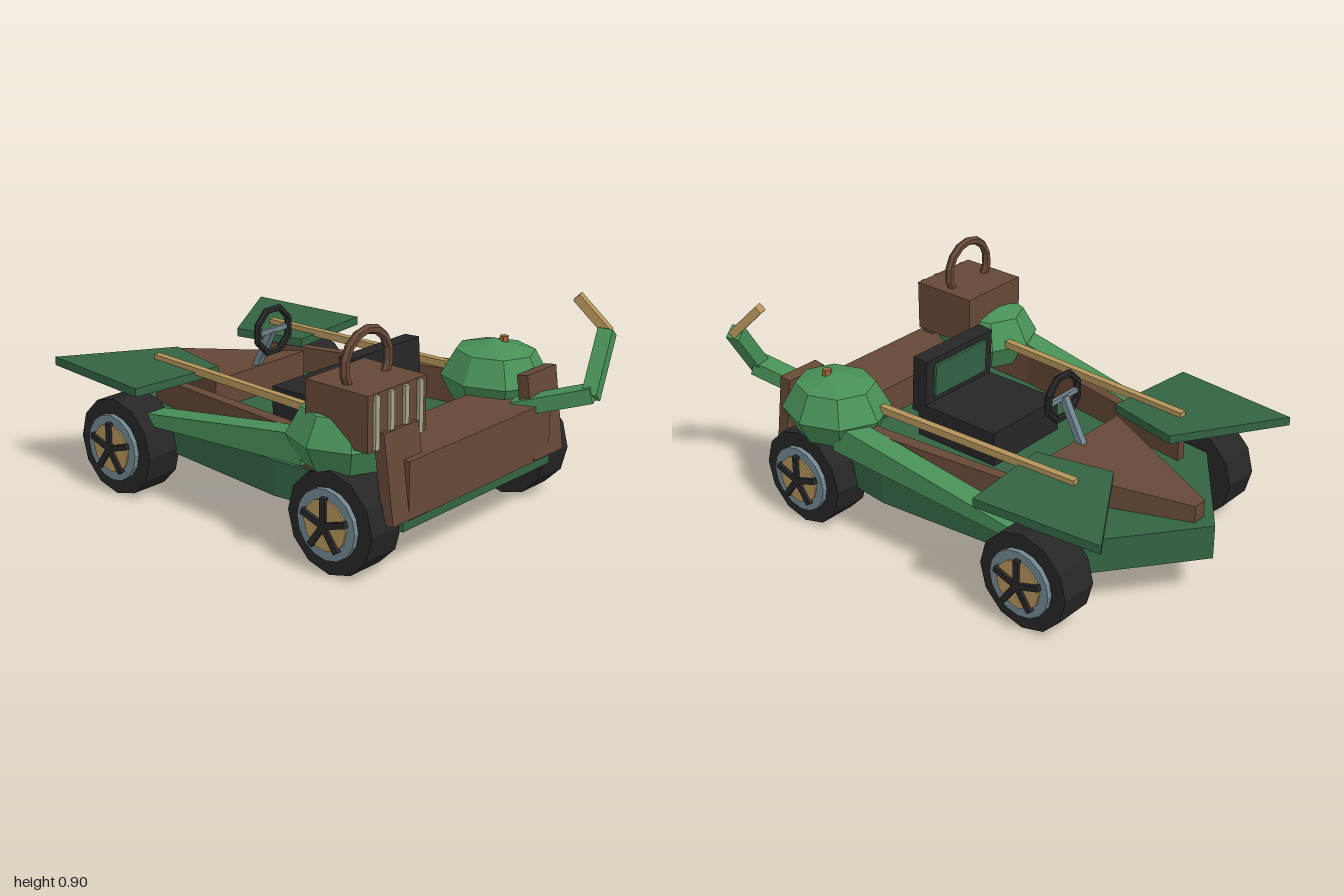
import * as THREE from 'three';

const mat = (name, color, side = THREE.FrontSide) => {
  const m = new THREE.MeshStandardMaterial({ color, flatShading: true, side });
  m.name = name;
  return m;
};

export function createModel() {
  const kart = new THREE.Group();
  kart.name = 'kart';
  const darkGreen = mat('dark green', 0x336343);
  const leafGreen = mat('leaf green', 0x489057);
  const brown = mat('wood brown', 0x654836);
  const gold = mat('tan', 0xb3935a);
  const black = mat('black', 0x262626);
  const steel = mat('steel blue', 0x71858f);
  const cream = mat('cream', 0xa8a488);
  const copper = mat('copper', 0x9a6238);

  const add = (name, geo, material, parent = kart) => {
    const m = new THREE.Mesh(geo, material);
    m.name = name;
    parent.add(m);
    return m;
  };
  const box = (name, x0, x1, y0, y1, z0, z1, material) => {
    const m = add(name, new THREE.BoxGeometry(x1 - x0, y1 - y0, z1 - z0), material);
    m.position.set((x0 + x1) / 2, (y0 + y1) / 2, (z0 + z1) / 2);
    return m;
  };
  // Plan outline of [x, z] points; bottom and top heights are functions of z
  const slab = (name, outline, bottom, top, material) => {
    const shape = new THREE.Shape(outline.map(([x, z]) => new THREE.Vector2(x, -z)));
    const g = new THREE.ExtrudeGeometry(shape, { depth: 1, bevelEnabled: false }).rotateX(-Math.PI / 2);
    const p = g.attributes.position;
    for (let i = 0; i < p.count; i++) {
      const z = p.getZ(i);
      p.setY(i, p.getY(i) > 0.5 ? top(z) : bottom(z));
    }
    g.computeVertexNormals();
    return add(name, g, material);
  };
  const flat = (y) => () => y;
  const ramp = (z0, y0, z1, y1) => (z) => y0 + ((z - z0) / (z1 - z0)) * (y1 - y0);
  // Square bar between two points
  const bar = (name, a, b, w, h, material) => {
    const from = new THREE.Vector3(...a), to = new THREE.Vector3(...b);
    const m = add(name, new THREE.BoxGeometry(w, h, from.distanceTo(to)), material);
    m.position.copy(from).add(to).multiplyScalar(0.5);
    m.lookAt(to);
    return m;
  };

  // Chassis with pointed nose
  const half = [[0.43, -0.67], [0.51, 0.2], [0.45, 0.775]];
  slab('chassis', [[0, -1], ...half, ...half.map(([x, z]) => [-x, z]).reverse()], flat(0.18), flat(0.32), darkGreen);

  // Cowl, rising toward the driver
  slab('cowl', [[-0.03, -0.93], [0.03, -0.93], [0.26, -0.35], [-0.26, -0.35]],
    flat(0.31), ramp(-0.93, 0.39, -0.35, 0.445), brown);

  // Tail panel
  box('tailPanel', -0.43, 0.43, 0.22, 0.445, 0.5, 0.785, brown);

  // Seat
  box('seatBase', -0.195, 0.195, 0.32, 0.462, -0.1, 0.3, black);
  const back = box('seatBack', -0.195, 0.195, 0.42, 0.66, 0.255, 0.325, black);
  back.rotation.x = -0.06;
  const pad = box('seatPad', -0.15, 0.15, 0.49, 0.63, 0.242, 0.262, darkGreen);
  pad.rotation.x = -0.06;

  // Steering wheel, spoke and column
  const rim = add('steeringWheel', new THREE.TorusGeometry(0.095, 0.015, 6, 8), black);
  rim.geometry.rotateZ(Math.PI / 8);
  rim.position.set(0, 0.61, -0.28);
  box('steeringSpoke', -0.085, 0.085, 0.6, 0.62, -0.29, -0.275, steel);
  bar('steeringColumn', [0, 0.61, -0.285], [0, 0.42, -0.385], 0.028, 0.028, steel);

  // Parts repeated on both sides
  for (const s of [1, -1]) {
    const flip = (pts) => pts.map(([x, z]) => [s * x, z]);

    slab('sideWall', flip([[0.3, -0.62], [0.34, -0.62], [0.485, 0.25], [0.485, 0.5], [0.44, 0.5], [0.43, 0.25]]),
      flat(0.31), ramp(-0.62, 0.42, 0.5, 0.47), brown);
    slab('sideBeam', flip([[0.44, -0.5], [0.535, -0.5], [0.575, 0.4], [0.48, 0.4]]),
      ramp(-0.5, 0.3, 0.4, 0.37), ramp(-0.5, 0.345, 0.4, 0.49), leafGreen);
    slab('frontFender', flip([[0.6, -0.93], [0.175, -0.66], [0.245, -0.35], [0.65, -0.39]]),
      flat(0.465), flat(0.5), darkGreen);
    bar('sideRail', [s * 0.335, 0.505, -0.61], [s * 0.378, 0.505, 0.32], 0.03, 0.03, gold);

    // Faceted rear fender
    const profile = [[0, 0.37], [0.155, 0.385], [0.205, 0.485], [0.15, 0.59], [0, 0.635]];
    const dome = add('rearFender',
      new THREE.LatheGeometry(profile.map(([r, y]) => new THREE.Vector2(r, y)), 8), leafGreen);
    dome.position.set(s * 0.45, 0, 0.5);
    dome.scale.z = 1.1;
    const stud = add('fenderStud', new THREE.CylinderGeometry(0.018, 0.022, 0.04, 6), copper);
    stud.position.set(s * 0.47, 0.625, 0.525);

    // Leaning corner post
    const post = box('cornerPost', Math.min(s * 0.33, s * 0.52), Math.max(s * 0.33, s * 0.52), 0.22, 0.56, 0.715, 0.765, brown);
    post.rotation.x = -0.14;

    // Wheels
    for (const z of [0.56, -0.58]) {
      const wheel = new THREE.Group();
      wheel.name = z > 0 ? 'rearWheel' : 'frontWheel';
      wheel.position.set(s * 0.52, 0.2, z);
      kart.add(wheel);
      const disc = (name, r, x0, x1, n, material) => {
        const d = add(name, new THREE.CylinderGeometry(r, r, x1 - x0, n).rotateZ(Math.PI / 2), material, wheel);
        d.position.x = (s * (x0 + x1)) / 2;
      };
      disc('tyre', 0.2, -0.08, 0.08, 12, black);
      disc('rimRing', 0.137, 0.07, 0.1, 16, steel);
      disc('hubDisc', 0.1, 0.09, 0.107, 12, gold);
      for (let i = 0; i < 5; i++) {
        const a = (i / 5) * Math.PI * 2;
        const spoke = add('spoke', new THREE.BoxGeometry(0.025, 0.108, 0.024).translate(0, 0.054, 0), black, wheel);
        spoke.position.x = s * 0.107;
        spoke.rotation.x = a;
      }
    }
  }

  // Luggage case with slats and hoop handle
  box('case', -0.582, -0.263, 0.5, 0.71, 0.43, 0.72, brown);
  for (let i = 0; i < 4; i++) {
    const x = -0.543 + i * 0.0795;
    box('caseSlat', x - 0.011, x + 0.011, 0.505, 0.705, 0.715, 0.733, cream);
  }
  const arc = Math.PI * 1.4;
  const hoop = add('caseHandle', new THREE.TorusGeometry(0.12, 0.018, 6, 10, arc), brown);
  hoop.rotation.z = Math.PI / 2 - arc / 2;
  hoop.position.set(-0.423, 0.765, 0.578);

  // Jointed exhaust arm
  bar('armLower', [0.34, 0.42, 0.68], [0.445, 0.515, 0.965], 0.09, 0.06, leafGreen);
  bar('armUpper', [0.43, 0.5, 0.962], [0.58, 0.72, 0.925], 0.06, 0.062, leafGreen);
  bar('armTip', [0.585, 0.715, 0.93], [0.54, 0.845, 0.81], 0.042, 0.035, gold);

  return kart;
}
